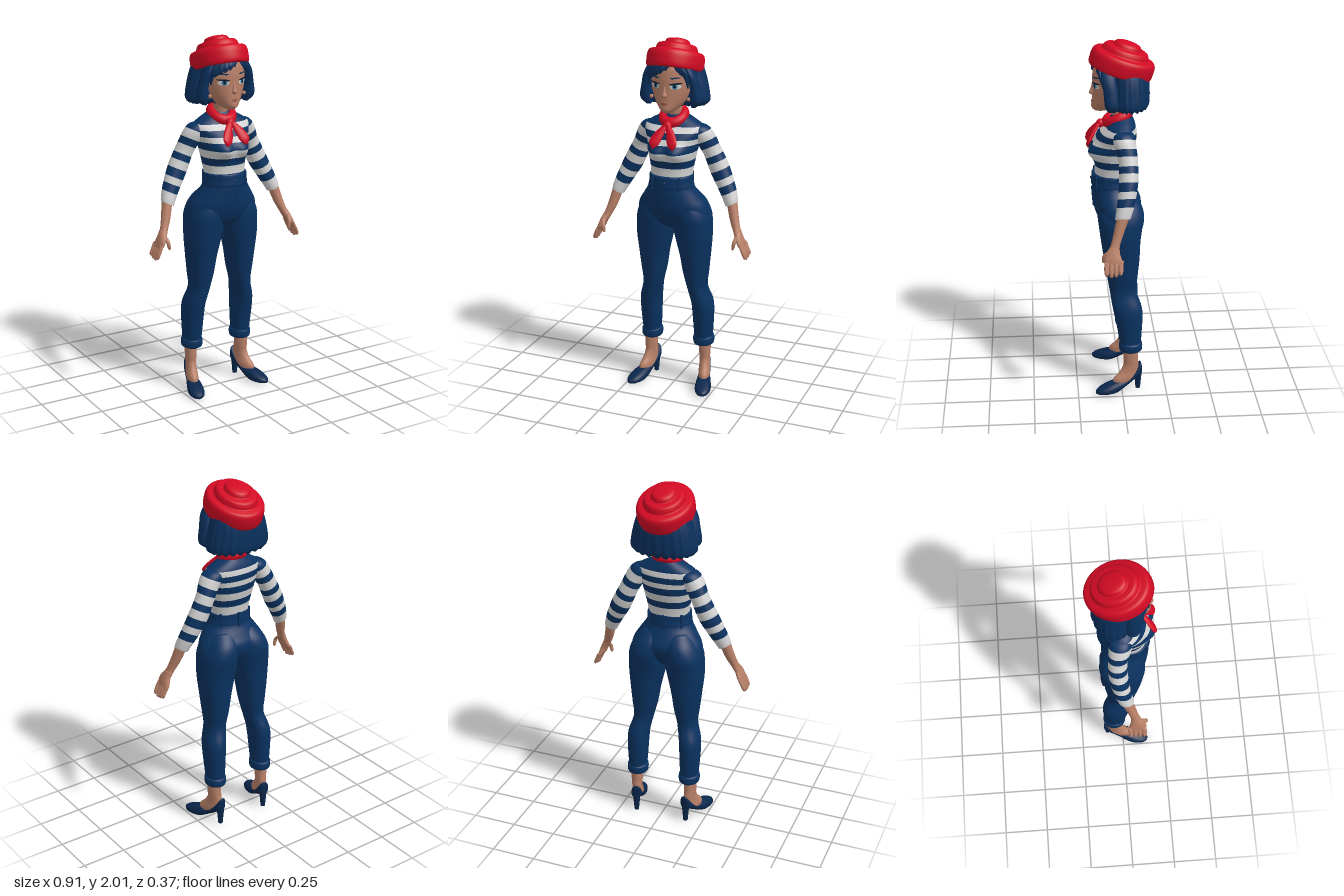
import * as THREE from 'three';

const mat = (name, color) => Object.assign(new THREE.MeshStandardMaterial({ color }), { name });
const M = {
  navy: mat('denim navy', 0x0a3260), hair: mat('hair blue', 0x0a305c), shoe: mat('shoe navy', 0x0a274c),
  skin: mat('skin', 0xb88068), white: mat('shirt white', 0xd2d2d2), red: mat('scarf red', 0xd20a24),
  iris: mat('iris blue', 0x4a8cb4), dark: mat('lash dark', 0x0a1c30), lip: mat('lip', 0x96584a),
};

// Smooth interpolation of rings [x, y, z, halfWidth, frontDepth, backDepth], listed bottom to top
function resample(rings, sub) {
  const out = [], n = rings.length, at = i => rings[Math.max(0, Math.min(n - 1, i))];
  for (let i = 0; i < n - 1; i++) for (let k = 0; k < sub; k++) {
    const t = k / sub;
    out.push(rings[i].map((b, d) => {
      const a = at(i - 1)[d], c = at(i + 1)[d], e = at(i + 2)[d];
      return b + 0.5 * t * (c - a + t * (2 * a - 5 * b + 4 * c - e + t * (3 * (b - c) + e - a)));
    }));
  }
  out.push(rings[n - 1]);
  return out;
}

// Closed body through the rings; tx slants rings sideways, warp moves vertices, band picks a material per row
function loft(name, material, rings, { sub = 6, seg = 28, tx = 0, p = 1, warp, band } = {}) {
  const rows = resample(rings, sub), pos = [], idx = [], g = new THREE.BufferGeometry();
  const pw = v => Math.sign(v) * Math.abs(v) ** p;
  rows.forEach(([x, y, z, rx, rf, rb]) => {
    for (let i = 0; i < seg; i++) {
      const a = i / seg * Math.PI * 2, dx = rx * pw(Math.cos(a)), s = pw(Math.sin(a));
      const v = new THREE.Vector3(x + dx, y + tx * dx, z + s * (s > 0 ? rf : rb));
      if (warp) warp(v, a);
      pos.push(v.x, v.y, v.z);
    }
  });
  const last = rows.length - 1, c0 = rows.length * seg;
  for (const r of [rows[0], rows[last]]) pos.push(r[0], r[1], r[2]);
  for (let j = 0; j < last; j++) {
    const start = idx.length;
    for (let i = 0; i < seg; i++) {
      const k = (i + 1) % seg, A = j * seg + i, D = j * seg + k, B = A + seg, C = D + seg;
      idx.push(A, B, C, A, C, D);
      if (j === 0) idx.push(c0, A, D);
      if (j === last - 1) idx.push(c0 + 1, C, B);
    }
    if (band) g.addGroup(start, idx.length - start, band((rows[j][1] + rows[j + 1][1]) / 2));
  }
  g.setAttribute('position', new THREE.Float32BufferAttribute(pos, 3));
  g.setIndex(idx);
  g.computeVertexNormals();
  return named(name, g, material);
}

function named(name, geo, material, x = 0, y = 0, z = 0) {
  const m = new THREE.Mesh(geo, material);
  m.name = name;
  m.position.set(x, y, z);
  return m;
}

// Adds a left-side group and its baked mirror image
function addPair(parent, name, build) {
  const left = new THREE.Group(), right = new THREE.Group();
  left.name = 'left' + name; right.name = 'right' + name;
  build(left);
  left.updateMatrixWorld(true);
  left.traverse(m => {
    if (!m.isMesh) return;
    const g = m.geometry.clone().applyMatrix4(m.matrixWorld).scale(-1, 1, 1), a = g.index.array;
    for (let i = 0; i < a.length; i += 3) [a[i], a[i + 1]] = [a[i + 1], a[i]];
    right.add(named(m.name, g, m.material));
  });
  parent.add(left, right);
}

const ball = (name, material, r, x, y, z, sx = 1, sy = 1, sz = 1) =>
  named(name, new THREE.SphereGeometry(r, 20, 14).scale(sx, sy, sz), material, x, y, z);

const HEAD = [[0, 1.625, .1, .022, .035, .03], [0, 1.645, .07, .05, .082, .07], [0, 1.69, .03, .09, .119, .1],
  [0, 1.75, .03, .11, .117, .13], [0, 1.82, .03, .114, .116, .14], [0, 1.88, .02, .106, .112, .12], [0, 1.93, 0, .07, .08, .08]];
const headRows = resample(HEAD, 20);
function faceZ(x, y) {
  const r = headRows.find(h => h[1] >= y) || headRows[headRows.length - 1];
  return r[2] + r[4] * Math.sqrt(Math.max(0, 1 - (x / r[3]) ** 2));
}

// Thin oval lying on the face
function patch(name, material, x, y, rx, ry, lift, turn = 0) {
  const g = new THREE.RingGeometry(.001, 1, 24, 4).scale(rx, ry, 1).rotateZ(turn).translate(x, y, 0), a = g.attributes.position;
  for (let i = 0; i < a.count; i++) a.setZ(i, faceZ(a.getX(i), a.getY(i)) + lift);
  g.computeVertexNormals();
  return named(name, g, material);
}

function buildHead(root) {
  root.add(loft('head', M.skin, HEAD, { sub: 8, seg: 40 }));
  root.add(loft('neck', M.skin, [[0, 1.55, -.01, .05, .05, .05], [0, 1.61, 0, .043, .045, .045], [0, 1.7, .02, .043, .045, .045]]));
  root.add(loft('nose', M.skin, [[0, 1.71, .14, .008, .011, .01], [0, 1.722, .142, .015, .023, .01],
    [0, 1.745, .142, .01, .014, .01], [0, 1.79, .137, .008, .007, .01]], { seg: 16 }));
  root.add(patch('upperLip', M.lip, 0, 1.68, .022, .004, .003), patch('lowerLip', M.lip, 0, 1.674, .016, .005, .003));
  addPair(root, 'FaceSide', g => g.add(
    patch('eyeWhite', M.white, .056, 1.772, .027, .014, .002), patch('iris', M.iris, .054, 1.772, .014, .014, .0035),
    patch('pupil', M.dark, .054, 1.773, .007, .009, .005), patch('lash', M.dark, .058, 1.787, .031, .005, .005, .08),
    patch('brow', M.hair, .056, 1.818, .028, .004, .003, .08), ball('earLobe', M.skin, .011, .106, 1.695, .07)));

  // Bob with ridged strands and a scalloped hem
  root.add(loft('bobHair', M.hair, [[0, 1.645, -.035, .16, .07, .11], [0, 1.675, -.035, .185, .1, .122], [0, 1.75, -.035, .174, .1, .124],
    [0, 1.82, -.035, .155, .1, .115], [0, 1.86, -.03, .138, .12, .105], [0, 1.885, -.02, .118, .15, .1],
    [0, 1.91, -.02, .1, .145, .085], [0, 1.935, -.02, .07, .09, .065]], {
    seg: 120, p: .95, warp: (v, a) => {
      const k = Math.abs(Math.sin(a * 11)), low = Math.min(1, Math.max(0, (1.86 - v.y) / .12));
      v.x *= 1 - .03 * low * (1 - k);
      if (v.z < 0) v.z *= 1 - .04 * low * (1 - k);
      if (v.y < 1.66) v.y += .014 * (1 - k);
    } }));
  addPair(root, 'SideLock', g => {
    g.add(loft('cheekLock', M.hair, [[.128, 1.65, .05, .012, .02, .02], [.142, 1.685, .052, .034, .036, .04], [.138, 1.76, .058, .027, .037, .04],
      [.122, 1.83, .07, .022, .037, .04], [.085, 1.895, .07, .02, .03, .04]], { seg: 18 }));
    g.add(loft('templeLock', M.hair, [[.108, 1.76, .085, .004, .006, .006], [.106, 1.8, .093, .01, .013, .015],
      [.094, 1.845, .108, .018, .013, .02], [.055, 1.9, .11, .02, .015, .02]], { seg: 16 }));
  });
  // Swept fringe: tip x, tip y, root x
  [[-.094, 1.8, -.055], [-.073, 1.815, -.04], [-.05, 1.826, -.02], [-.024, 1.838, 0], [.004, 1.855, .02], [.064, 1.85, .035], [.086, 1.825, .05]]
    .forEach(([x, y, r]) => {
      const mx = (x * 2 + r) / 3, my = y + .03;
      root.add(loft('fringeLock', M.hair, [[x, y, faceZ(x, y) + .003, .003, .004, .004], [mx, my, faceZ(mx, my) + .003, .02, .011, .012],
        [r, 1.91, .105, .025, .02, .02]], { seg: 14 }));
    });
}

function buildHat(root) {
  // Thick rolled brim and two soft tiers
  const profile = [[.1, -.043], [.138, -.05], [.151, -.04], [.154, -.005], [.152, .026], [.143, .044], [.125, .05], [.114, .053],
    [.109, .068], [.1, .083], [.083, .087], [.069, .089], [.065, .099], [.055, .111], [.03, .117], [0, .118]].map(q => new THREE.Vector2(...q));
  const pts = new THREE.SplineCurve(profile).getPoints(80);
  pts.forEach(q => { q.x = Math.max(0, q.x); });
  const hat = named('tieredHat', new THREE.LatheGeometry(pts, 56).scale(.99, 1, 1.14), M.red, 0, 1.88, -.012);
  hat.rotation.x = -.32;
  root.add(hat);
}

function buildTop(root) {
  const lobes = v => {
    if (v.z < .03) return;
    v.z += .036 * Math.exp(-(((Math.abs(v.x) - .06) / .05) ** 2) - ((v.y - 1.405) / .045) ** 2);
  };
  const stripes = [[1.322, 1.364], [1.406, 1.446], [1.474, 1.509], [1.54, 1.61]];
  root.add(loft('stripedShirt', [M.white, M.navy], [[0, 1.25, .045, .113, .095, .095], [0, 1.32, .03, .12, .108, .09], [0, 1.4, .02, .135, .128, .1],
    [0, 1.45, .01, .145, .128, .097], [0, 1.5, .005, .162, .11, .095], [0, 1.535, 0, .164, .082, .085],
    [0, 1.563, -.005, .125, .068, .072], [0, 1.6, -.01, .055, .05, .05]],
  { sub: 12, seg: 56, p: .92, warp: lobes, band: y => (stripes.some(([a, b]) => y > a && y < b) ? 1 : 0) }));

  // Neckerchief
  const collar = named('scarfCollar', new THREE.TorusGeometry(.056, .026, 16, 40).rotateX(Math.PI / 2).scale(1, 1.15, 1.12), M.red, 0, 1.585, .012);
  collar.rotation.x = .45;
  root.add(collar, ball('scarfKnot', M.red, .024, 0, 1.55, .105, 1, 1, .9));
  addPair(root, 'ScarfTail', g => g.add(loft('scarfTail', M.red, [[.058, 1.437, .178, .004, .005, .004], [.053, 1.465, .17, .026, .012, .012],
    [.035, 1.505, .146, .025, .014, .012], [.005, 1.555, .11, .012, .014, .012]], { seg: 18, tx: .3 })));

  addPair(root, 'Arm', g => {
    const tx = .46;
    g.add(loft('sleeve', [M.white, M.navy], [[.335, 1.125, .008, .033, .04, .04], [.328, 1.145, .003, .036, .043, .043], [.303, 1.2, -.012, .042, .047, .047],
      [.252, 1.3, -.03, .05, .052, .05], [.205, 1.4, -.032, .046, .053, .05], [.163, 1.48, -.015, .05, .058, .06], [.135, 1.518, -.01, .045, .055, .06],
      [.11, 1.535, -.01, .03, .04, .045]],
    { sub: 12, tx, band: y => (y > 1.18 && (y - 1.18) % .08 < .039 ? 1 : 0) }));
    g.add(loft('forearm', M.skin, [[.395, .965, .063, .017, .034, .034], [.379, 1.0, .05, .019, .025, .025], [.357, 1.06, .03, .024, .028, .028],
      [.333, 1.15, .003, .027, .034, .034]], { tx }));
    g.add(loft('palm', M.skin, [[.423, .905, .062, .012, .042, .042], [.412, .93, .064, .017, .048, .046], [.4, .96, .063, .018, .04, .036],
      [.387, .99, .054, .018, .026, .026]], { tx: .3 }));
    for (let i = 0; i < 4; i++) {
      const z = .1 - i * .025, y = .84 + .009 * Math.abs(i - 1.3);
      g.add(loft('finger', M.skin, [[.446, y, z + .001, .005, .006, .006], [.444, y + .012, z, .01, .011, .011],
        [.434, .89, z, .011, .013, .013], [.418, .925, z - .004, .011, .013, .013]], { seg: 12 }));
    }
    g.add(loft('thumb', M.skin, [[.38, .9, .112, .004, .005, .005], [.382, .912, .112, .009, .009, .009], [.388, .945, .108, .011, .011, .011],
      [.396, .975, .075, .012, .015, .015]], { seg: 12 }));
  });
}

function buildTrousers(root) {
  root.add(loft('hips', M.navy, [[0, .965, .01, .14, .06, .05], [0, 1.0, .01, .185, .1, .085], [0, 1.05, .01, .205, .126, .112], [0, 1.1, .02, .193, .128, .128],
    [0, 1.15, .03, .162, .122, .115], [0, 1.2, .045, .13, .108, .105], [0, 1.25, .048, .116, .102, .1]], { seg: 48 }));
  root.add(loft('waistband', M.navy, [[0, 1.205, .048, .122, .104, .102], [0, 1.212, .048, .127, .11, .108], [0, 1.24, .048, .122, .108, .105],
    [0, 1.268, .048, .121, .106, .103], [0, 1.275, .048, .114, .1, .097]], { seg: 48 }));
  for (const a of [.9, 2.24, -.7, -2.44, -1.57]) {
    const loop = named('beltLoop', new THREE.BoxGeometry(.014, .078, .012), M.navy, .124 * Math.cos(a), 1.238, .048 + .109 * Math.sin(a));
    loop.rotation.y = Math.PI / 2 - a;
    root.add(loop);
  }
  root.add(ball('waistButton', M.navy, .009, 0, 1.24, .157, 1, 1, .6));
  const fly = named('flyFlap', new THREE.BoxGeometry(.022, .11, .008), M.navy, .01, 1.135, .15);
  fly.rotation.x = .08;
  root.add(fly);

  addPair(root, 'Leg', g => {
    g.add(loft('trouserLeg', M.navy, [[.158, .26, -.05, .047, .058, .056], [.158, .35, -.045, .054, .064, .066], [.158, .45, -.04, .058, .077, .076],
      [.153, .52, -.035, .058, .086, .076], [.132, .61, -.015, .055, .08, .068], [.125, .7, -.01, .07, .09, .08], [.122, .8, -.005, .083, .1, .095],
      [.115, .9, 0, .1, .11, .105], [.108, .97, 0, .107, .119, .114], [.104, 1.04, 0, .103, .126, .126], [.088, 1.11, 0, .088, .118, .11],
      [.07, 1.17, .01, .06, .09, .07]], { seg: 36, p: .92 }));
    g.add(loft('rolledCuff', M.navy, [[.158, .247, -.05, .047, .053, .053], [.158, .255, -.05, .057, .063, .063], [.158, .275, -.05, .06, .066, .066],
      [.158, .295, -.05, .058, .064, .064], [.158, .303, -.05, .048, .054, .054]], { seg: 32 }));

    // Foot and pump, toe turned outward
    const foot = new THREE.Group();
    foot.name = 'foot';
    foot.position.set(.165, 0, -.05);
    foot.rotation.y = .28;
    foot.add(loft('ankle', M.skin, [[0, .05, .05, .03, .055, .05], [0, .085, .025, .033, .075, .065], [0, .12, .005, .03, .06, .053],
      [0, .16, -.002, .03, .045, .045], [0, .2, 0, .033, .042, .042], [0, .3, 0, .036, .042, .042]], { seg: 24 }));
    // Rings run heel to toe: [x, length, -height, halfWidth, down, up]
    const pump = loft('pump', M.shoe, [[0, -.064, -.125, .012, .03, .025], [0, -.055, -.12, .028, .038, .045], [0, -.02, -.095, .033, .028, .025],
      [0, .03, -.06, .034, .025, .018], [0, .09, -.032, .043, .028, .038], [0, .14, -.022, .045, .021, .034], [0, .185, -.018, .032, .016, .02],
      [0, .207, -.016, .01, .008, .008]], { seg: 28, p: .85 });
    pump.geometry.rotateX(Math.PI / 2);
    foot.add(pump, named('shoeHeel', new THREE.CylinderGeometry(.022, .013, .1, 16), M.shoe, 0, .05, -.044));
    g.add(foot);
  });
}

export function createModel() {
  const root = new THREE.Group();
  root.name = 'figure';
  buildHead(root);
  buildHat(root);
  buildTop(root);
  buildTrousers(root);
  return root;
}
